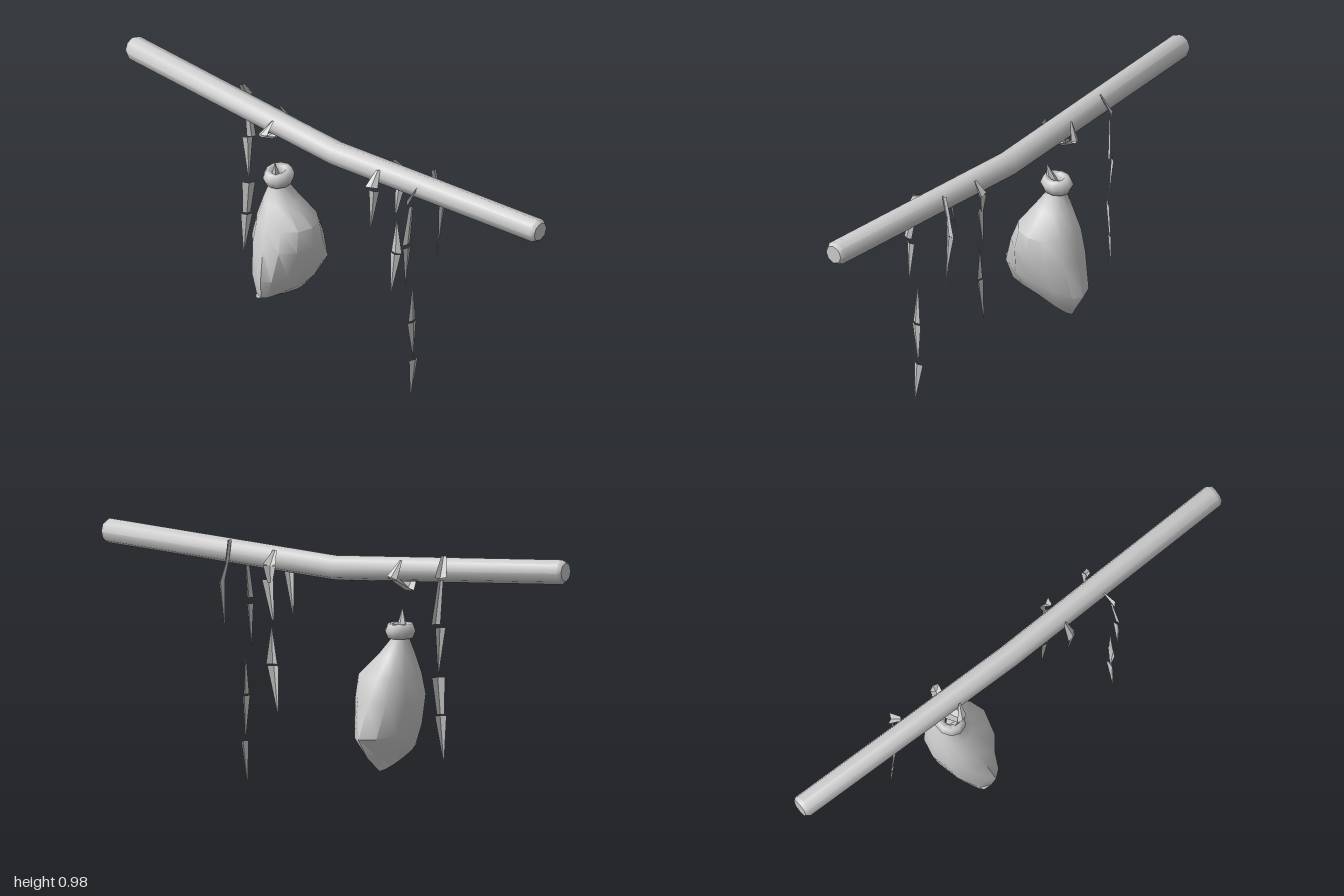
import * as THREE from 'three';
import { toCreasedNormals } from 'three/addons/utils/BufferGeometryUtils.js';

const material = new THREE.MeshStandardMaterial({ color: 0xcccccc });
const leafMaterial = new THREE.MeshStandardMaterial({ color: 0xcccccc, side: THREE.DoubleSide, flatShading: true });

// Skins a list of closed rings, each an array of [x, y, z]
function loft(rings, crease) {
  const n = rings[0].length, index = [];
  for (let i = 0; i < rings.length - 1; i++) {
    for (let j = 0; j < n; j++) {
      const a = i * n + j, b = i * n + (j + 1) % n;
      index.push(a, b, a + n, b, b + n, a + n);
    }
  }
  const geo = new THREE.BufferGeometry();
  geo.setAttribute('position', new THREE.Float32BufferAttribute(rings.flat(2), 3));
  geo.setIndex(index);
  geo.computeVertexNormals();
  return toCreasedNormals(geo, crease);
}

function add(parent, name, geo, mat = material) {
  const mesh = new THREE.Mesh(geo, mat);
  mesh.name = name;
  parent.add(mesh);
  return mesh;
}

function ring(n, fn) {
  return Array.from({ length: n }, (_, j) => fn(Math.cos(j / n * Math.PI * 2), Math.sin(j / n * Math.PI * 2)));
}

// A thin strip from a to b, folded along its middle, w0 and w1 wide at its ends
function leaf(a, b, w0, w1, dir) {
  const d = new THREE.Vector3(...dir).normalize();
  const A = new THREE.Vector3(...a), B = new THREE.Vector3(...b);
  const fold = new THREE.Vector3().subVectors(B, A).cross(d).normalize();
  const off = (p, w, f) => p.clone().addScaledVector(d, w / 2).addScaledVector(fold, f);
  const pts = [off(A, -w0, 0), off(A, 0, w0 * 0.2), off(A, w0, 0),
    off(B, -w1, 0), off(B, 0, w1 * 0.2), off(B, w1, 0)];
  const geo = new THREE.BufferGeometry().setFromPoints(pts);
  geo.setIndex([0, 3, 1, 1, 3, 4, 1, 4, 2, 2, 4, 5]);
  geo.computeVertexNormals();
  return geo;
}

// Each piece: start, end, start width, end width
function strand(parent, name, dir, pieces) {
  const group = new THREE.Group();
  group.name = name;
  pieces.forEach(([a, b, w0, w1, own]) => add(group, 'leaf', leaf(a, b, w0, w1, own || dir), leafMaterial));
  parent.add(group);
}

export function createModel() {
  const model = new THREE.Group();
  model.name = 'hangingSackPole';

  // Pole, bent in the middle, with bevelled ends
  const stations = [[-1, 0], [-1, 0.036], [-0.985, 0.047], [0, 0.047], [0.985, 0.047], [1, 0.036], [1, 0]];
  add(model, 'pole', loft(stations.map(([z, r]) =>
    ring(8, (c, s) => [r * c, 0.866 + 0.063 * Math.abs(z) + r * s, z])), 0.8));

  // Sack body: left y, right y, left x, right x, back z, front z, middle z
  const sections = [
    [0.640, 0.640, -0.033, 0.033, -0.312, -0.248, -0.28],
    [0.620, 0.620, -0.035, 0.036, -0.315, -0.245, -0.28],
    [0.560, 0.560, -0.075, 0.072, -0.332, -0.195, -0.27],
    [0.490, 0.480, -0.122, 0.120, -0.350, -0.115, -0.25],
    [0.410, 0.390, -0.153, 0.148, -0.363, -0.110, -0.23],
    [0.300, 0.255, -0.190, 0.190, -0.335, -0.145, -0.21],
    [0.215, 0.180, -0.174, 0.142, -0.302, -0.190, -0.22],
    [0.202, 0.128, -0.168, 0.102, -0.275, -0.225, -0.25],
    [0.202, 0.128, -0.166, 0.100, -0.251, -0.249, -0.25],
  ];
  const sack = new THREE.Group();
  sack.name = 'sack';
  model.add(sack);
  add(sack, 'sackBody', loft(sections.map(([yl, yr, xl, xr, zb, zf, zm]) => ring(12, (c, s) => {
    const t = (c + 1) / 2;
    return [xl + (xr - xl) * t, yl + (yr - yl) * t, zm + (s > 0 ? zf - zm : zm - zb) * s];
  })), 0.75));

  // Rolled tie around the neck and the tuft above it
  const tie = add(sack, 'neckTie', new THREE.TorusGeometry(0.042, 0.024, 6, 10).rotateX(Math.PI / 2));
  tie.scale.set(1, 1.3, 0.87);
  tie.position.set(0, 0.651, -0.28);
  const tuft = add(sack, 'tuft', loft([[0.735, 0, -0.04, -0.265], [0.69, 0.012, -0.028, -0.272], [0.63, 0.03, -0.012, -0.28]]
    .map(([y, r, x, z]) => ring(5, (c, s) => [x + r * c, y, z + r * s])), 0.8));
  tuft.scale.y = 1;

  // Knot holding the sack to the pole
  strand(model, 'poleKnot', [0, 0.3, 1], [
    [[-0.045, 0.92, -0.27], [-0.085, 0.865, -0.29], 0.01, 0.045],
    [[-0.085, 0.865, -0.29], [0, 0.815, -0.31], 0.04, 0.06],
    [[0, 0.815, -0.31], [0.08, 0.86, -0.29], 0.06, 0.04],
    [[0.08, 0.86, -0.29], [0.045, 0.925, -0.31], 0.045, 0.01],
    [[0.04, 0.85, -0.29], [0.0, 0.80, -0.33], 0.05, 0.02],
  ]);

  // Long leaf strand near the front
  strand(model, 'frontStrandRight', [1, 0, 0.1], [
    [[-0.04, 0.905, 0.43], [-0.10, 0.88, 0.44], 0.012, 0.045, [0.4, 1, 0.1]],
    [[-0.08, 0.85, 0.435], [-0.115, 0.70, 0.44], 0.022, 0.04],
    [[-0.105, 0.68, 0.435], [-0.113, 0.52, 0.435], 0.04, 0.004],
    [[-0.07, 0.50, 0.435], [-0.076, 0.34, 0.435], 0.003, 0.036],
    [[-0.077, 0.335, 0.435], [-0.069, 0.17, 0.435], 0.046, 0.003],
    [[-0.066, 0.165, 0.435], [-0.084, 0, 0.435], 0.046, 0.003],
  ]);
  strand(model, 'frontStrandLeft', [1, 0, 0.1], [
    [[0.055, 0.945, 0.43], [0.075, 0.86, 0.43], 0.025, 0.025],
    [[0.075, 0.86, 0.43], [0.095, 0.79, 0.44], 0.02, 0.035],
    [[0.095, 0.79, 0.44], [0.08, 0.66, 0.44], 0.036, 0.012],
    [[0.08, 0.66, 0.44], [0.068, 0.56, 0.435], 0.012, 0.002],
  ]);

  // Middle strands, turned nearly side-on
  strand(model, 'middleStrandLeft', [0.2, 0, 1], [
    [[0.045, 0.92, 0.24], [0.085, 0.87, 0.24], 0.015, 0.05],
    [[0.085, 0.865, 0.24], [0.08, 0.80, 0.24], 0.05, 0.02],
    [[0.08, 0.81, 0.25], [0.075, 0.66, 0.23], 0.045, 0.01],
    [[0.068, 0.63, 0.24], [0.067, 0.49, 0.24], 0.004, 0.045],
    [[0.067, 0.485, 0.235], [0.065, 0.31, 0.215], 0.045, 0.004],
  ]);
  strand(model, 'middleStrandRight', [0.5, 0, 1], [
    [[-0.04, 0.91, 0.24], [-0.08, 0.85, 0.24], 0.015, 0.05],
    [[-0.075, 0.84, 0.25], [-0.065, 0.66, 0.225], 0.04, 0.004],
  ]);

  // Rear strand, turned diagonally
  strand(model, 'rearStrand', [1, 0, 1], [
    [[0.035, 0.955, -0.49], [0.085, 0.88, -0.505], 0.02, 0.045],
    [[0.075, 0.87, -0.50], [0.085, 0.70, -0.485], 0.02, 0.035],
    [[0.085, 0.69, -0.505], [0.075, 0.52, -0.49], 0.04, 0.005],
    [[0.075, 0.50, -0.49], [0.075, 0.36, -0.50], 0.05, 0.03],
    [[0.075, 0.355, -0.50], [0.07, 0.18, -0.51], 0.045, 0.003],
  ]);

  return model;
}
